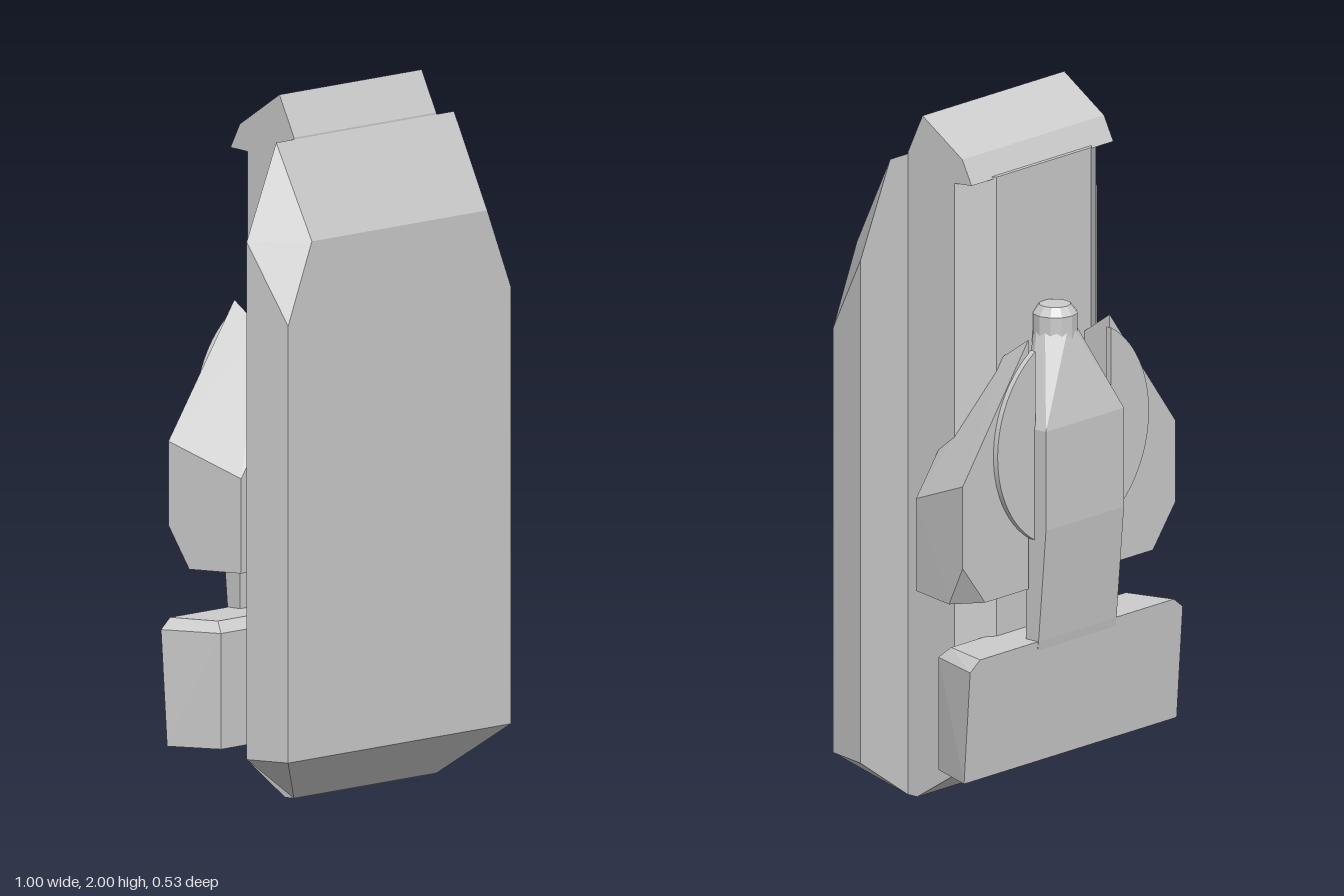
import * as THREE from 'three';
import { ConvexGeometry } from 'three/addons/geometries/ConvexGeometry.js';

const material = new THREE.MeshStandardMaterial({ color: 0xcccccc, flatShading: true });

export function createModel() {
  const group = new THREE.Group();

  const add = (name, geometry, x = 0, y = 0, z = 0) => {
    const mesh = new THREE.Mesh(geometry, material);
    mesh.name = name;
    mesh.position.set(x, y, z);
    group.add(mesh);
    return mesh;
  };
  // Faceted solid around a few corner points
  const hull = (name, points) =>
    add(name, new ConvexGeometry(points.map((p) => new THREE.Vector3(...p))));
  // Same, with every corner repeated on the other side
  const mirrorHull = (name, points) =>
    hull(name, points.flatMap(([x, y, z]) => [[x, y, z], [-x, y, z]]));

  // Bevelled front plate
  mirrorHull('frontPlate', [
    [0.47, 0.135, 0.265], [0.47, 1.38, 0.265], [0.37, 1.61, 0.265],
    [0.3, 0, 0.135], [0.5, 0.135, 0.135], [0.5, 1.61, 0.135], [0.375, 1.878, 0.135],
  ]);

  // Core block with a raised, slant-sided back
  mirrorHull('core', [
    [0.3, 0, 0.136], [0.3, 0, 0.1], [0.3, 0.09, -0.04], [0.2, 0.135, -0.11],
    [0.3, 1.85, 0.136], [0.3, 1.85, -0.04], [0.2, 1.835, -0.11],
  ]);

  // Overhanging cap on the core
  mirrorHull('cap', [
    [0.3, 1.82, 0.135], [0.3, 1.883, 0.135], [0.3, 2, 0.08],
    [0.3, 1.9, -0.07], [0.3, 1.83, -0.105], [0.3, 1.825, -0.04],
  ]);

  // Wide foot block with chamfered upper edges
  mirrorHull('footBlock', [
    [0.45, 0.13, -0.21], [0.45, 0.46, -0.233], [0.41, 0.49, -0.235],
    [0.39, 0.13, -0.06], [0.39, 0.46, -0.06], [0.37, 0.49, -0.09],
  ]);

  // Upright body rising from the foot
  mirrorHull('body', [
    [0.165, 0.3, -0.19], [0.165, 0.3, -0.21], [0.165, 0.49, -0.237],
    [0.165, 0.82, -0.265], [0.165, 1.11, -0.265], [0.165, 1.11, -0.19],
  ]);

  // Head tapering from the body to the round tip
  const head = [];
  for (const x of [-0.165, 0.165]) head.push([x, 1.11, -0.265], [x, 1.11, -0.19]);
  for (let i = 0; i < 12; i++) {
    const a = ((i + 0.5) / 12) * Math.PI * 2;
    head.push([0.062 * Math.cos(a), 1.36, -0.152 + 0.062 * Math.sin(a)]);
  }
  hull('head', head);

  // Barrel with a bevelled tip
  const barrel = [[0, 0.3], [0.065, 0.3], [0.065, 1.405], [0.045, 1.43], [0, 1.43]];
  add('barrel', new THREE.LatheGeometry(barrel.map((p) => new THREE.Vector2(...p)), 12), 0, 0, -0.152);
  add('sideRod', new THREE.CylinderGeometry(0.022, 0.022, 0.7, 12), -0.1, 0.85, -0.17);

  // Fan outline: the part of a disc outside the body
  const fan = new THREE.Shape();
  fan.absarc(0, 0, 0.32, -Math.PI / 3, Math.PI / 3, false);
  fan.closePath();
  const fanGeometry = new THREE.ExtrudeGeometry(fan, { depth: 0.018, bevelEnabled: false, curveSegments: 24 });

  for (const s of [1, -1]) {
    const side = s > 0 ? 'left' : 'right';
    // Wing wrapping forward around the core
    hull(side + 'Wing', [
      [0.45, 1.0, -0.205], [0.45, 0.76, -0.205], [0.355, 0.64, -0.205],
      [0.172, 0.64, -0.205], [0.172, 1.37, -0.205],
      [0.435, 0.64, -0.14], [0.395, 0.64, 0.02], [0.395, 0.91, 0.02],
      [0.29, 1.045, 0.02], [0.29, 0.64, 0.02],
      [0.172, 1.3, -0.105], [0.172, 0.64, -0.105],
    ].map(([x, y, z]) => [s * x, y, z]));
    // Thin fan laid on the back of the wing
    const plate = add(side + 'Fan', fanGeometry, 0, 1.06, s > 0 ? -0.221 : -0.203);
    if (s < 0) plate.rotation.y = Math.PI;
  }

  return group;
}
